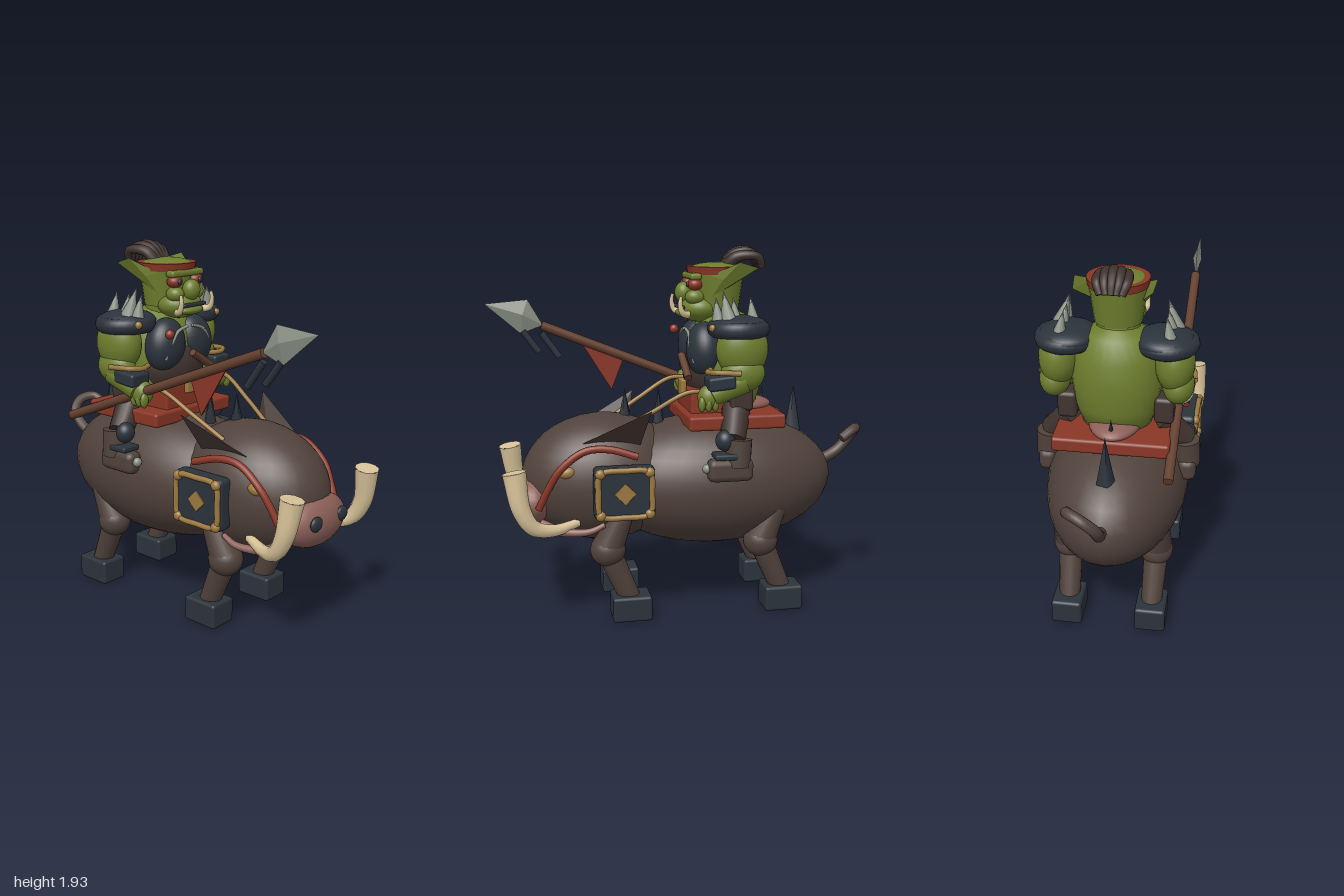
import * as THREE from 'three';
import { mergeGeometries } from 'three/addons/utils/BufferGeometryUtils.js';
import { RoundedBoxGeometry } from 'three/addons/geometries/RoundedBoxGeometry.js';
import { ConvexGeometry } from 'three/addons/geometries/ConvexGeometry.js';

const V = (p) => new THREE.Vector3(...p);

export function createModel() {
  const model = new THREE.Group();
  model.name = 'boarRider';
  const mat = (name, color) => Object.assign(new THREE.MeshStandardMaterial({ color }), { name });
  const hide = mat('hide', 0x51423c), pink = mat('pinkSkin', 0x8c6058), dark = mat('darkIron', 0x2b333c);
  const ivory = mat('ivory', 0xd6c198), green = mat('greenSkin', 0x6e7e2e), red = mat('redCloth', 0x8a3626);
  const bronze = mat('bronze', 0x9c783f), steel = mat('steel', 0x8a9084), wood = mat('wood', 0x64402f);
  const leather = mat('darkLeather', 0x40332f);

  let parent = model;
  const group = (name) => {
    parent = new THREE.Group();
    parent.name = name;
    model.add(parent);
  };
  const add = (name, geo, m, p = [0, 0, 0], rot = [0, 0, 0]) => {
    const mesh = new THREE.Mesh(geo, m);
    mesh.name = name;
    mesh.position.set(...p);
    mesh.rotation.set(...rot);
    parent.add(mesh);
    return mesh;
  };
  const ball = (name, m, p, r, rot) => add(name, new THREE.SphereGeometry(1, 32, 20), m, p, rot).scale.set(...r);
  const box = (name, m, p, s, rot, r = 0.015) => add(name, new RoundedBoxGeometry(...s, 2, r), m, p, rot);
  const hull = (name, m, pts) => add(name, new ConvexGeometry(pts.map(V)), m);
  // Tapered cylinder from a to b
  const rod = (name, m, a, b, ra, rb = ra, sides = 16) => {
    const A = V(a), B = V(b), d = B.clone().sub(A);
    const mesh = add(name, new THREE.CylinderGeometry(rb, ra, d.length(), sides), m);
    mesh.position.copy(A.add(B).multiplyScalar(0.5));
    mesh.quaternion.setFromUnitVectors(new THREE.Vector3(0, 1, 0), d.normalize());
    return mesh;
  };
  // Tube along a path, tapering from r0 to r1, closed with discs
  const tube = (name, m, pts, r0, r1 = r0, closed = false) => {
    const curve = new THREE.CatmullRomCurve3(pts.map(V), closed), seg = 28, n = 10;
    const g = new THREE.TubeGeometry(curve, seg, 1, n, closed), pos = g.attributes.position;
    for (let k = 0; k < pos.count; k++) {
      const t = Math.floor(k / (n + 1)) / seg, c = curve.getPointAt(t);
      const v = new THREE.Vector3().fromBufferAttribute(pos, k).sub(c).multiplyScalar(r0 + (r1 - r0) * t).add(c);
      pos.setXYZ(k, v.x, v.y, v.z);
    }
    const parts = [g];
    if (!closed) for (const [t, r, s] of [[0, r0, -1], [1, r1, 1]]) {
      const disc = new THREE.CircleGeometry(r, n);
      const q = new THREE.Quaternion().setFromUnitVectors(new THREE.Vector3(0, 0, 1), curve.getTangentAt(t).multiplyScalar(s));
      const c = curve.getPointAt(t);
      parts.push(disc.applyQuaternion(q).translate(c.x, c.y, c.z));
    }
    return add(name, mergeGeometries(parts), m);
  };

  // Boar body, head and snout
  group('boar');
  ball('body', hide, [-0.19, 0.69, 0], [0.655, 0.355, 0.37]);
  ball('head', hide, [0.41, 0.725, 0], [0.435, 0.34, 0.315]);
  ball('snout', pink, [0.79, 0.63, 0], [0.11, 0.135, 0.225]);
  tube('tail', hide, [[-0.8, 0.75, 0], [-0.9, 0.8, 0.01], [-0.97, 0.88, 0], [-0.98, 0.935, -0.06], [-0.94, 0.945, -0.13], [-0.87, 0.9, -0.145]], 0.032, 0.026);
  for (const [x, y, h, r] of [[-0.64, 0.93, 0.25, 0.05], [-0.46, 1, 0.18, 0.035], [0.11, 1, 0.19, 0.033], [0.29, 1, 0.19, 0.042]])
    rod('backSpike', dark, [x, y, 0], [x, y + h, 0], r, 0.001, 5).geometry = new THREE.ConeGeometry(r, h, 5).toNonIndexed();
  for (const s of [1, -1]) {
    ball('nostril', dark, [0.885, 0.655, s * 0.107], [0.02, 0.038, 0.043]);
    ball('boarEye', bronze, [0.62, 0.81, s * 0.25], [0.045, 0.03, 0.03], [0, 0, -0.2]);
    tube('tusk', ivory, [[0.57, 0.54, s * 0.23], [0.7, 0.52, s * 0.28], [0.8, 0.55, s * 0.32], [0.86, 0.65, s * 0.33], [0.89, 0.84, s * 0.315]], 0.022, 0.062);
    tube('lip', pink, [[0.44, 0.53, s * 0.27], [0.52, 0.5, s * 0.275], [0.65, 0.5, s * 0.25], [0.76, 0.53, s * 0.2]], 0.014, 0.03);
    hull('boarEar', leather, [[0.2, 1.125, s * 0.33], [0.54, 0.95, s * 0.22], [0.25, 0.9, s * 0.2], [0.33, 0.95, s * 0.21]]);
    tube('bridle', red, [[0.27, 0.89, s * 0.31], [0.42, 0.93, s * 0.285], [0.54, 0.92, s * 0.275], [0.66, 0.83, s * 0.27], [0.72, 0.73, s * 0.25], [0.77, 0.62, s * 0.23]], 0.019);
    // Legs: thigh, knee, shin, hoof
    for (const [hip, knee, foot] of [[0.34, 0.42, 0.3], [-0.48, -0.4, -0.52]]) {
      rod('thigh', hide, [hip, 0.58, s * 0.25], [knee, 0.4, s * 0.23], 0.055, 0.085);
      ball('knee', hide, [knee, 0.385, s * 0.23], [0.092, 0.088, 0.088]);
      rod('shin', hide, [knee, 0.38, s * 0.23], [foot, 0.1, s * 0.22], 0.065, 0.055);
      box('hoof', dark, [foot, 0.067, s * 0.222], [0.205, 0.134, 0.16]);
    }
    // Flank plate with bronze frame
    box('flankPlate', dark, [0.345, 0.715, s * 0.325], [0.31, 0.27, 0.09], undefined, 0.025);
    const frame = [];
    for (const [x, y] of [[-1, -1], [0, -1.12], [1, -1], [1.08, 0], [1, 1], [0, 1.12], [-1, 1], [-1.08, 0]])
      frame.push([0.345 + x * 0.125, 0.715 + y * 0.108, s * 0.37]);
    tube('plateFrame', bronze, frame, 0.015, 0.015, true);
    for (const x of [-1, 1]) for (const y of [-1, 1])
      ball('plateRivet', bronze, [0.345 + x * 0.125, 0.715 + y * 0.108, s * 0.37], [0.026, 0.026, 0.022]);
    box('plateDiamond', bronze, [0.345, 0.715, s * 0.372], [0.08, 0.08, 0.009], [0, 0, Math.PI / 4], 0.003);
    tube('rein', bronze, [[-0.1, 1.2, s * 0.25], [0, 1.2, s * 0.25], [0.18, 1.1, s * 0.22], [0.36, 0.99, s * 0.18]], 0.012);
  }

  // Saddle
  group('saddle');
  box('saddleCloth', red, [-0.255, 1.04, 0], [0.51, 0.075, 0.59]);
  ball('saddlePad', pink, [-0.27, 1.09, 0], [0.235, 0.055, 0.14]);

  // Rider torso and limbs
  group('rider');
  const profile = [[0, 1.05], [0.15, 1.06], [0.185, 1.18], [0.2, 1.32], [0.185, 1.45], [0.14, 1.56], [0, 1.62]].map((p) => new THREE.Vector2(...p));
  add('torso', new THREE.LatheGeometry(profile, 28), green, [-0.25, 0, 0]).scale.z = 1.15;
  ball('belly', leather, [-0.16, 1.28, 0], [0.135, 0.17, 0.2]);
  box('loincloth', red, [-0.13, 1.13, 0], [0.2, 0.14, 0.37]);
  box('buckle', bronze, [-0.02, 1.19, 0], [0.03, 0.09, 0.1], undefined, 0.01);
  rod('chestStrap', wood, [-0.015, 1.36, -0.0], [-0.02, 1.26, -0.16], 0.02);
  ball('strapKnot', red, [-0.01, 1.48, 0.18], [0.025, 0.025, 0.025]);
  for (const s of [1, -1]) {
    ball('chestPlate', dark, [-0.115, 1.4, s * 0.105], [0.095, 0.145, 0.118], [s * -0.15, 0, 0]);
    tube('chestTrim', steel, [[-0.035, 1.5, s * 0.02], [-0.035, 1.48, s * 0.09], [-0.035, 1.42, s * 0.14], [-0.05, 1.34, s * 0.17]], 0.009);
    // Shoulder guard with spikes
    ball('shoulderGuard', dark, [-0.26, 1.535, s * 0.24], [0.155, 0.058, 0.15]);
    const rim = add('shoulderRim', new THREE.TorusGeometry(0.125, 0.035, 10, 32), dark, [-0.26, 1.52, s * 0.25], [Math.PI / 2, 0, 0]);
    rim.scale.z = 1.2;
    for (const x of [-0.33, -0.24, -0.15])
      rod('shoulderSpike', steel, [x, 1.565, s * 0.27], [x + 0.01, 1.68, s * 0.25], 0.034, 0.001, 8);
    rod('frontSpike', steel, [-0.2, 1.56, s * 0.29], [-0.18, 1.71, s * 0.245], 0.045, 0.001, 8);
    ball('shoulderStud', bronze, [-0.115, 1.53, s * 0.3], [0.02, 0.02, 0.02]);
    // Arm
    ball('upperArm', green, [-0.27, 1.42, s * 0.29], [0.135, 0.15, 0.1]);
    ball('elbow', green, [-0.27, 1.3, s * 0.31], [0.115, 0.095, 0.08]);
    rod('forearm', green, [-0.27, 1.27, s * 0.315], [-0.11, 1.19, s * 0.31], 0.075, 0.055);
    box('bracer', dark, [-0.15, 1.26, s * 0.32], [0.14, 0.07, 0.13], [0, 0, -0.1]);
    tube('armBand', bronze, [[-0.24, 1.31, s * 0.39], [-0.12, 1.315, s * 0.365], [-0.09, 1.31, s * 0.3], [-0.12, 1.31, s * 0.23]], 0.014);
    ball('hand', green, [-0.1, 1.18, s * 0.295], [0.06, 0.065, 0.055]);
    for (let i = 0; i < 3; i++)
      ball('finger', green, [-0.125 + i * 0.035, 1.15, s * 0.325], [0.018, 0.04, 0.025]);
    // Leg and boot
    box('hipGuard', leather, [-0.275, 1.17, s * 0.245], [0.12, 0.14, 0.1], undefined, 0.02);
    rod('riderThigh', leather, [-0.26, 1.1, s * 0.22], [-0.21, 0.96, s * 0.35], 0.075, 0.065);
    ball('kneePad', dark, [-0.17, 0.965, s * 0.355], [0.05, 0.055, 0.05]);
    rod('riderShin', hide, [-0.24, 0.97, s * 0.355], [-0.235, 0.83, s * 0.365], 0.07, 0.065);
    box('boot', hide, [-0.195, 0.815, s * 0.365], [0.235, 0.12, 0.095], undefined, 0.035);
    box('bootStrap', dark, [-0.18, 0.89, s * 0.37], [0.145, 0.03, 0.11], undefined, 0.01);
    ball('toeCap', steel, [-0.075, 0.825, s * 0.365], [0.025, 0.025, 0.025]);
  }

  // Rider head
  group('riderHead');
  rod('neck', green, [-0.22, 1.52, 0], [-0.2, 1.62, 0], 0.11, 0.11);
  rod('skull', green, [-0.2, 1.6, 0], [-0.2, 1.82, 0], 0.12, 0.15, 24);
  ball('crown', green, [-0.2, 1.81, 0], [0.14, 0.035, 0.14]);
  ball('jaw', green, [-0.11, 1.61, 0], [0.11, 0.075, 0.125]);
  box('brow', green, [-0.07, 1.775, 0], [0.06, 0.035, 0.24]);
  ball('nose', green, [-0.025, 1.69, 0], [0.045, 0.055, 0.05]);
  box('mouth', dark, [-0.005, 1.615, 0], [0.025, 0.02, 0.17], undefined, 0.008);
  ball('lowerLip', green, [-0.03, 1.585, 0], [0.045, 0.025, 0.085]);
  rod('headband', red, [-0.2, 1.785, 0], [-0.2, 1.825, 0], 0.15, 0.157, 24);
  for (const s of [1, -1]) {
    ball('cheek', green, [-0.07, 1.67, s * 0.075], [0.05, 0.04, 0.045]);
    ball('eyeSocket', red, [-0.07, 1.735, s * 0.078], [0.04, 0.033, 0.042]);
    ball('pupil', dark, [-0.033, 1.735, s * 0.078], [0.01, 0.015, 0.015]);
    tube('riderTusk', ivory, [[-0.03, 1.58, s * 0.1], [0, 1.59, s * 0.115], [0.015, 1.63, s * 0.118], [0.01, 1.675, s * 0.115]], 0.02, 0.008);
    hull('riderEar', green, [[-0.14, 1.78, s * 0.13], [-0.15, 1.67, s * 0.12], [-0.24, 1.72, s * 0.12], [-0.38, 1.82, s * 0.19], [-0.28, 1.85, s * 0.2], [-0.2, 1.76, s * 0.16]]);
  }
  // Swept topknot made of strands
  for (let i = -2; i <= 2; i++)
    tube('hairStrand', leather, [[-0.25, 1.82, i * 0.018], [-0.29, 1.885 - 0.004 * i * i, i * 0.028], [-0.36, 1.905 - 0.006 * i * i, i * 0.036], [-0.41, 1.87, i * 0.036], [-0.435, 1.82, i * 0.026]], 0.033, 0.018);

  // Spear with pennant
  group('spear');
  rod('shaft', wood, [-0.645, 0.965, 0.305], [0.7, 1.5, 0.305], 0.025);
  hull('spearHead', steel, [[0.69, 1.5, 0.305], [0.77, 1.64, 0.305], [1, 1.62, 0.305], [0.81, 1.455, 0.305], [0.8, 1.56, 0.33], [0.8, 1.56, 0.28]]);
  rod('tassel', dark, [0.605, 1.325, 0.305], [0.7, 1.46, 0.305], 0.018);
  rod('tassel', dark, [0.715, 1.355, 0.305], [0.8, 1.47, 0.305], 0.018);
  const flag = [];
  for (const z of [0.301, 0.309]) flag.push([0.25, 1.31, z], [0.49, 1.41, z], [0.32, 1.135, z]);
  hull('pennant', red, flag);

  return model;
}
